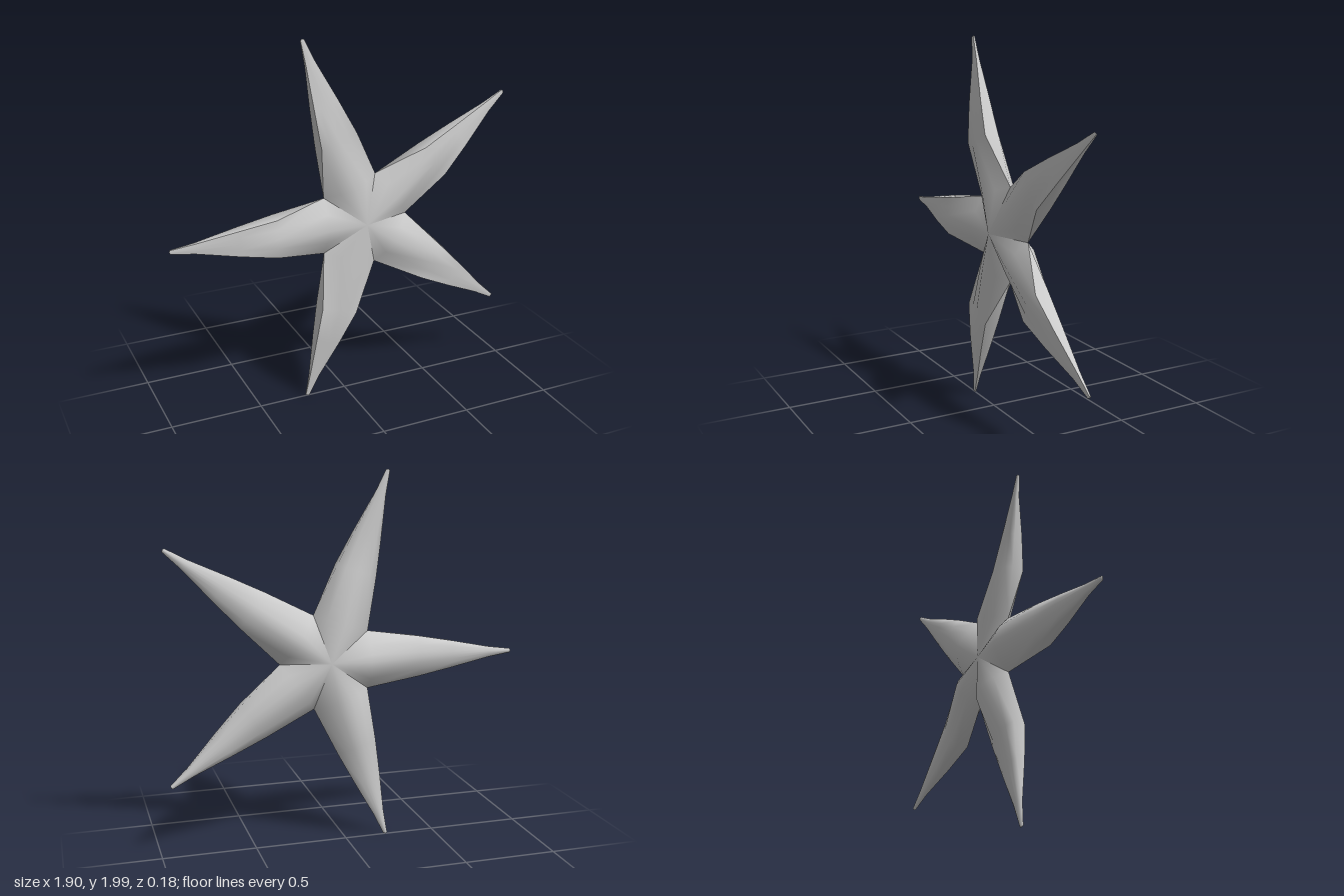
import * as THREE from 'three';
import { mergeVertices } from 'three/addons/utils/BufferGeometryUtils.js';

const ARMS = 5;
const CENTRE = new THREE.Vector3(0.095, 1, 0);

// Cross-sections along one arm: distance from the centre, half width,
// front edge half width, front edge z, front middle z, back ridge z
const SECTIONS = [
  [0.214, 0.156, 0.156, 0, 0.085, -0.09],
  [0.5, 0.112, 0.103, 0.072, 0.077, -0.035],
  [0.695, 0.075, 0.069, 0.05, 0.054, -0.021],
  [0.915, 0.029, 0.027, 0.017, 0.02, -0.011],
  [1.042, 0.011, 0.01, 0.006, 0.007, -0.007],
  [1.048, 0, 0, 0, 0, 0],
];

// Points [sideways, z] over the front of a section
const frontRow = ([, , e, ez, f]) => [[-e, ez], [-e / 2, ez + (f - ez) * 0.6], [0, f], [e / 2, ez + (f - ez) * 0.6], [e, ez]];

// Points [sideways, z] from one front edge, round the back, to the other
const backRow = ([, w, e, ez, , b]) => {
  const half = [[e, ez], [w, 0], [w * 0.6, b * 0.62], [w * 0.25, b * 0.93]];
  return [...half, [0, b], ...half.map(([s, z]) => [-s, z]).reverse()];
};

// Sweeps a row of points along all arms and joins them at a hub point
function starSurface(name, rowOf, hubZ, material) {
  const pos = [];
  const hub = new THREE.Vector3(CENTRE.x, CENTRE.y, hubZ);
  const tri = (...pts) => {
    const area = new THREE.Triangle(...pts).getArea();
    if (area > 1e-9) pts.forEach((p) => pos.push(p.x, p.y, p.z));
  };
  for (let k = 0; k < ARMS; k++) {
    const a = Math.PI + (k * 2 * Math.PI) / ARMS;
    const c = Math.cos(a), n = Math.sin(a);
    const rows = SECTIONS.map((sec) => rowOf(sec).map(([s, z]) =>
      new THREE.Vector3(CENTRE.x + sec[0] * c - s * n, CENTRE.y + sec[0] * n + s * c, z)));
    for (let j = 0; j < rows[0].length - 1; j++) {
      tri(hub, rows[0][j], rows[0][j + 1]);
      for (let i = 0; i < rows.length - 1; i++) {
        const p = rows[i], q = rows[i + 1];
        tri(p[j], q[j], q[j + 1]);
        tri(p[j], q[j + 1], p[j + 1]);
      }
    }
  }
  let geo = new THREE.BufferGeometry();
  geo.setAttribute('position', new THREE.Float32BufferAttribute(pos, 3));
  geo = mergeVertices(geo, 1e-4);
  geo.computeVertexNormals();
  const mesh = new THREE.Mesh(geo, material);
  mesh.name = name;
  return mesh;
}

export function createModel() {
  const group = new THREE.Group();
  group.name = 'starfish';
  const material = new THREE.MeshStandardMaterial({ color: 0xcccccc });
  // Flattened front and domed back are separate, so their shared rim stays sharp
  group.add(starSurface('flatFront', frontRow, 0.085, material));
  group.add(starSurface('domedBack', backRow, -0.065, material));
  return group;
}
